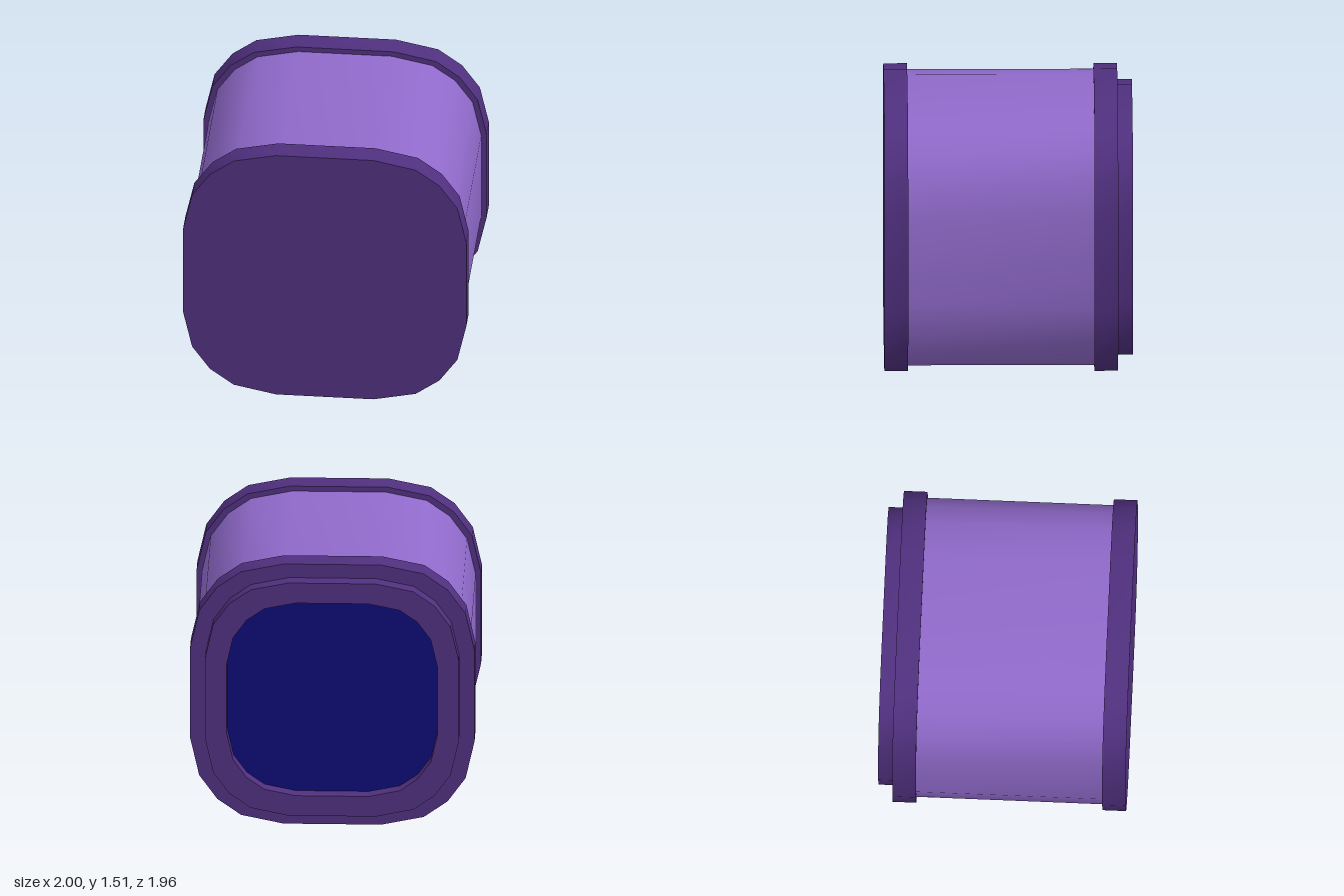
import * as THREE from 'three';
import { toCreasedNormals } from 'three/addons/utils/BufferGeometryUtils.js';

// One quarter of the rounded-square section, from the side to the top
const CORNER = [[0.771, 0.263], [0.722, 0.48], [0.624, 0.617], [0.495, 0.709], [0.265, 0.757]];

function outline(sx, sy) {
  const flipped = [...CORNER].reverse();
  const points = [
    ...CORNER,
    ...flipped.map(([x, y]) => [-x, y]),
    ...CORNER.map(([x, y]) => [-x, -y]),
    ...flipped.map(([x, y]) => [x, -y]),
  ];
  return points.map(([x, y]) => new THREE.Vector2(x * sx, y * sy));
}

export function createModel() {
  const model = new THREE.Group();
  model.name = 'monitorBox';

  const trim = new THREE.MeshStandardMaterial({ name: 'dark purple', color: 0x50307f });
  const shell = new THREE.MeshStandardMaterial({ name: 'light purple', color: 0x906acb });
  const glass = new THREE.MeshStandardMaterial({ name: 'navy', color: 0x0e0c74 });

  // Extruded section between two depths, optionally with an opening
  function slab(name, material, sx, sy, z0, z1, hole) {
    const shape = new THREE.Shape(outline(sx, sy));
    if (hole) shape.holes.push(new THREE.Path(outline(hole, hole).reverse()));
    const extruded = new THREE.ExtrudeGeometry(shape, { depth: z1 - z0, bevelEnabled: false });
    const mesh = new THREE.Mesh(toCreasedNormals(extruded, 0.6), material);
    mesh.name = name;
    mesh.position.z = z0;
    model.add(mesh);
  }

  // Local +z is the closed end, -z the end with the screen
  slab('body', shell, 0.962, 0.962, -0.51, 0.52);
  slab('closedEndCap', trim, 1, 1, 0.508, 0.636);
  slab('screenEndCap', trim, 1, 1, -0.63, -0.502);
  slab('screenRim', trim, 0.892, 0.896, -0.71, -0.63, 0.742);
  slab('screen', glass, 0.742, 0.742, -0.635, -0.628);

  model.rotation.y = -0.68;
  model.position.y = 0.757;
  const root = new THREE.Group();
  root.add(model);
  return root;
}
